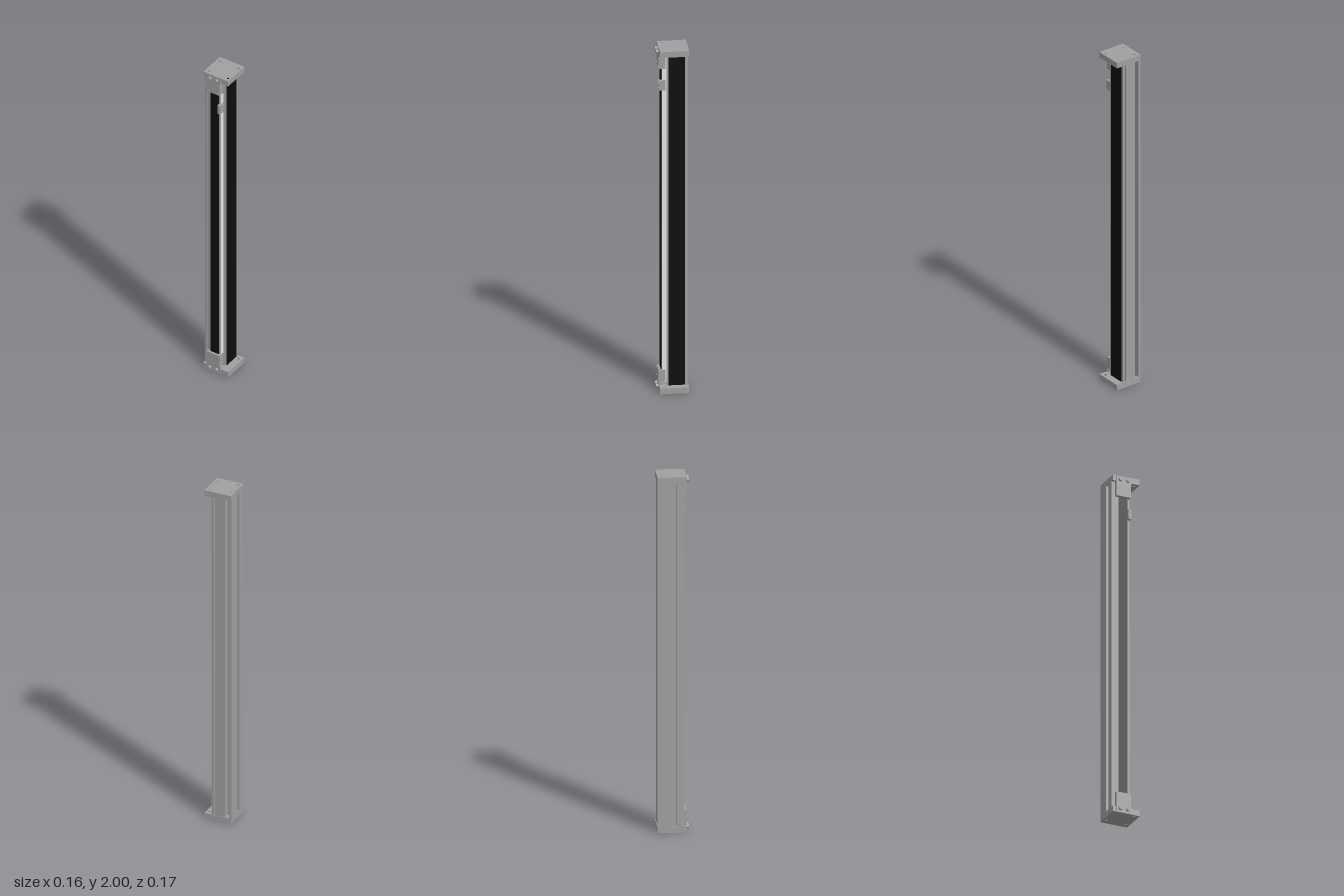
import * as THREE from 'three';

const mat = (name, color) => {
  const m = new THREE.MeshStandardMaterial({ color });
  m.name = name;
  return m;
};

export function createModel() {
  const aluminium = mat('aluminium grey', 0xa0a0a0);
  const black = mat('black', 0x0e0e0e);
  const white = mat('white', 0xffffff);
  const root = new THREE.Group();
  root.name = 'linearAxis';

  const add = (name, geo, material, parent = root) => {
    const m = new THREE.Mesh(geo, material);
    m.name = name;
    parent.add(m);
    return m;
  };
  // Box given by its limits
  const box = (name, [x0, x1], [y0, y1], [z0, z1], material = aluminium) => {
    const g = new THREE.BoxGeometry(x1 - x0, y1 - y0, z1 - z0);
    g.translate((x0 + x1) / 2, (y0 + y1) / 2, (z0 + z1) / 2);
    return add(name, g, material);
  };
  // Upright prism from an (x, z) outline with round holes [x, z, r]
  const prism = (name, outline, holes, y0, y1) => {
    const s = new THREE.Shape(outline.map(([x, z]) => new THREE.Vector2(x, -z)));
    for (const [x, z, r] of holes) {
      const h = new THREE.Path();
      h.absarc(x, -z, r, 0, Math.PI * 2, true);
      s.holes.push(h);
    }
    const g = new THREE.ExtrudeGeometry(s, { depth: y1 - y0, bevelEnabled: false, curveSegments: 10 });
    g.rotateX(-Math.PI / 2);
    g.translate(0, y0, 0);
    return add(name, g, aluminium);
  };
  // Short rod pointing to the front
  const rod = (name, x, y, z0, z1, r) => {
    const g = new THREE.CylinderGeometry(r, r, z1 - z0, 16);
    g.rotateX(Math.PI / 2);
    g.translate(x, y, (z0 + z1) / 2);
    return add(name, g, aluminium);
  };

  // Slotted profile running the full length
  const profile = [
    [-0.08, -0.085],
    [-0.067, -0.085], [-0.067, -0.052], [-0.042, -0.052], [-0.042, -0.085], // wide rear slot
    [0.016, -0.085], [0.016, -0.076], [0.023, -0.076], [0.023, -0.085],     // narrow rear slot
    [0.037, -0.085], [0.037, 0.03],
    [0.032, 0.03], [0.032, 0.025], [0.027, 0.025], [0.027, 0.03],           // step groove
    [0.02, 0.03], [0.02, 0.055],
    [-0.06, 0.055], [-0.06, 0.053], [-0.063, 0.053], [-0.063, 0.055],       // front seam
    [-0.08, 0.055],
    [-0.08, 0.017], [-0.066, 0.017], [-0.066, -0.013], [-0.08, -0.013],     // side slot
  ];
  prism('profileBody', profile, [[-0.06, 0.043, 0.006]], 0.033, 1.967);

  // Coloured strips on the profile
  box('sidePanel', [0.036, 0.039], [0.033, 1.967], [-0.07, 0.02], black);
  box('frontBelt', [-0.04, 0.011], [0.05, 1.95], [0.0545, 0.06], black);
  box('stepCover', [0.019, 0.0215], [0.045, 1.955], [0.0305, 0.0545], white);

  // End plates with counterbored corner holes and round ports
  const plate = [[-0.08, -0.088], [0.08, -0.088], [0.08, 0.071], [-0.08, 0.071]];
  const corners = [[-0.06, -0.061], [0.059, -0.061], [-0.06, 0.043], [0.059, 0.043]];
  const ports = [[-0.035, -0.066], [-0.065, -0.03], [-0.035, 0.006], [-0.014, 0.04]];
  for (const top of [false, true]) {
    const side = top ? 'upper' : 'lower';
    const span = (a, b) => (top ? [2 - b, 2 - a] : [a, b]);
    prism(side + 'PlateCore', plate, corners.map(c => [...c, 0.007]), ...span(0.005, 0.033));
    prism(side + 'PlateFace', plate,
      [...corners.map(c => [...c, 0.0125]), ...ports.map(p => [...p, 0.0115])], ...span(0, 0.005));
    for (const [x, z] of ports) {
      const g = new THREE.CylinderGeometry(0.0095, 0.0095, 0.004, 18);
      g.translate(x, top ? 1.997 : 0.003, z);
      add(side + 'PortPlug', g, aluminium);
    }
    // Front clamp block with screws, and the two fittings beside it
    box(side + 'Clamp', [-0.06, 0.026], span(0.05, 0.12), [0.036, 0.073]);
    box(side + 'ClampFoot', [-0.06, 0.03], span(0.001, 0.05), [0.056, 0.0725]);
    for (const x of [-0.036, 0.008]) {
      const y = top ? 1.977 : 0.023;
      rod(side + 'Fitting', x, y, 0.07, 0.086, 0.0105);
    }
    for (const x of [-0.05, 0.016]) {
      for (const h of [0.062, 0.108]) rod(side + 'ClampScrew', x, top ? 2 - h : h, 0.072, 0.0745, 0.005);
    }
  }

  // Small sensor block on the step
  box('sensorBlock', [0.012, 0.029], [1.755, 1.812], [0.036, 0.074]);
  for (const y of [1.768, 1.799]) rod('sensorScrew', 0.0205, y, 0.073, 0.0755, 0.005);

  return root;
}
